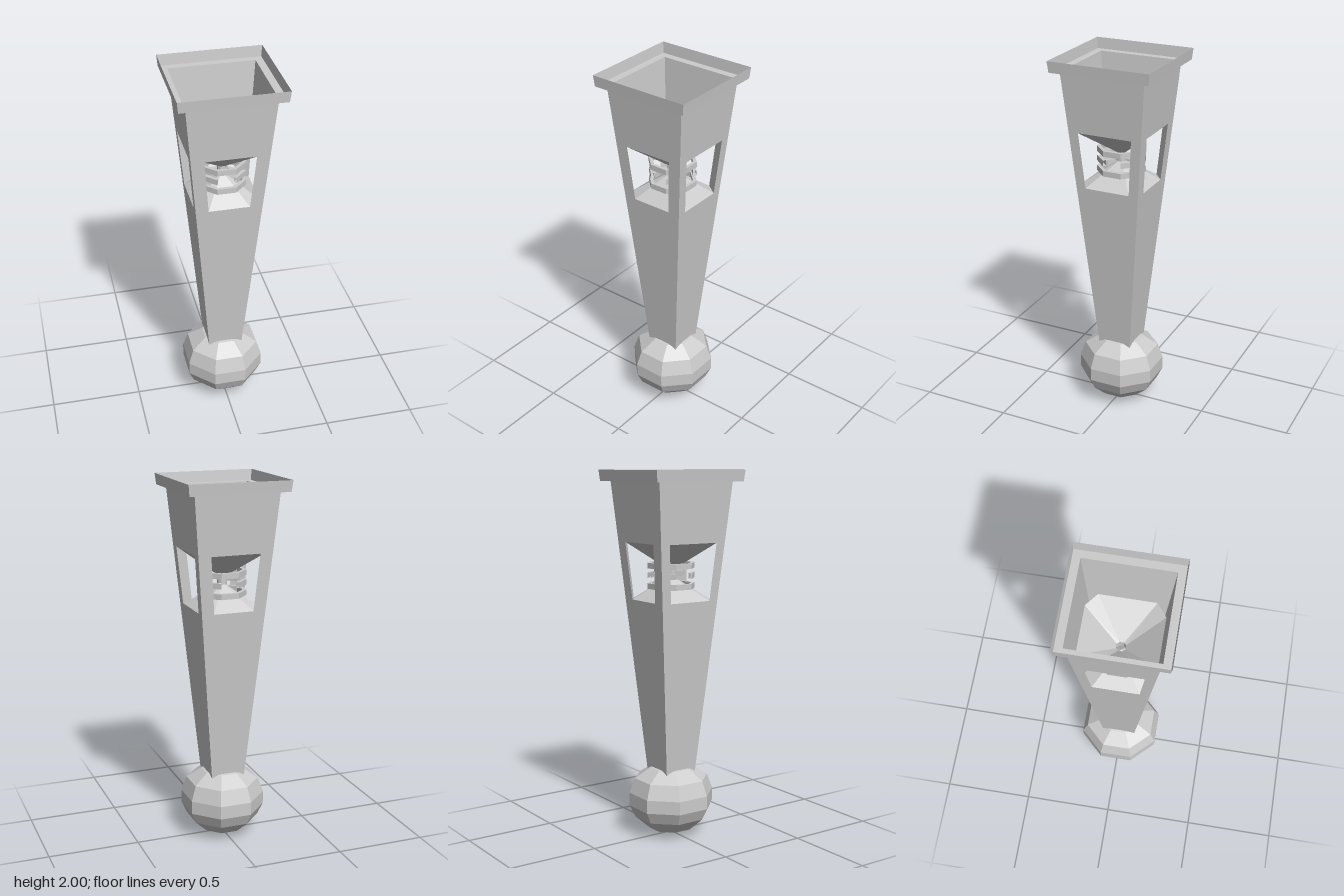
import * as THREE from 'three';

const material = new THREE.MeshStandardMaterial({ color: 0xcccccc, flatShading: true, side: THREE.DoubleSide });
const TOP = 1.94, WIN_TOP = 1.62, WIN_BOTTOM = 1.31;

// Half width of the tapering column at a height
const half = (y) => 0.094 + (y - 0.35) * 0.0874;

function add(parent, name, geometry) {
  const mesh = new THREE.Mesh(geometry, material);
  mesh.name = name;
  parent.add(mesh);
  return mesh;
}

// Skin through equal-length closed rings of [x, y, z] points, listed bottom to top
function loft(rings) {
  const n = rings[0].length, index = [];
  for (let r = 0; r < rings.length - 1; r++) {
    for (let i = 0; i < n; i++) {
      const a = r * n + i, b = r * n + (i + 1) % n;
      index.push(a, b, b + n, a, b + n, a + n);
    }
  }
  const g = new THREE.BufferGeometry();
  g.setAttribute('position', new THREE.Float32BufferAttribute(rings.flat(2), 3));
  g.setIndex(index);
  g.computeVertexNormals();
  return g;
}

// Eight-cornered ring: h is the half width, a and b the half lengths of its long edges
const octagon = (y, h, a, b) =>
  [[a, h], [h, b], [h, -b], [a, -h], [-a, -h], [-h, -b], [-h, b], [-a, h]].map(([x, z]) => [x, y, z]);

const square = (y, h) => [[h, y, h], [h, y, -h], [-h, y, -h], [-h, y, h]];

// One sloping wall of the column with its window
function wallGeometry(winTop, winBottom) {
  const b = half(0.3), t = half(TOP);
  const shape = new THREE.Shape([[-b, 0.3], [b, 0.3], [t, TOP], [-t, TOP]].map((p) => new THREE.Vector2(...p)));
  shape.holes.push(new THREE.Path([
    [-winBottom, WIN_BOTTOM], [-winTop, WIN_TOP], [winTop, WIN_TOP], [winBottom, WIN_BOTTOM],
  ].map((p) => new THREE.Vector2(...p))));
  const g = new THREE.ShapeGeometry(shape);
  const p = g.attributes.position;
  for (let i = 0; i < p.count; i++) p.setZ(i, half(p.getY(i)));
  g.computeVertexNormals();
  return g;
}

// Flat band bent round the axis; sides counts its straight pieces
function band(y, start, sides) {
  const profile = [[0.11, -0.015], [0.13, -0.015], [0.13, 0.015], [0.11, 0.015], [0.11, -0.015]]
    .map(([r, dy]) => new THREE.Vector2(r, y + dy));
  return new THREE.LatheGeometry(profile, sides, start, sides * Math.PI / 4);
}

export function createModel() {
  const model = new THREE.Group();
  model.name = 'hourglassPillar';

  // Faceted ball foot, with flat sides towards the axes
  const ballProfile = [[0, 0], [0.125, 0.03], [0.205, 0.1], [0.237, 0.165], [0.237, 0.238], [0.207, 0.32], [0.12, 0.375], [0, 0.4]]
    .map((p) => new THREE.Vector2(...p));
  const ball = add(model, 'ballFoot', new THREE.LatheGeometry(ballProfile, 8, Math.PI / 8));
  ball.scale.x = 0.97;

  // Column walls
  const column = new THREE.Group();
  column.name = 'column';
  model.add(column);
  for (let i = 0; i < 4; i++) {
    const wall = add(column, 'columnWall', i % 2 ? wallGeometry(0.15, 0.125) : wallGeometry(0.135, 0.11));
    wall.rotation.y = i * Math.PI / 2;
  }

  // Shallow tray rim around the open top
  add(model, 'rim', loft([square(TOP, half(TOP)), square(TOP, 0.274), square(2, 0.28)]));

  // Chamfered inner faces of the corner posts
  const lower = octagon(WIN_BOTTOM, half(WIN_BOTTOM), 0.11, 0.125);
  const upper = octagon(WIN_TOP, half(WIN_TOP), 0.135, 0.15);
  for (let i = 0; i < 8; i += 2) {
    const strip = new THREE.BufferGeometry().setFromPoints(
      [lower[i], upper[i], upper[i + 1], lower[i + 1]].map((p) => new THREE.Vector3(...p)));
    strip.setIndex([0, 1, 2, 0, 2, 3]);
    strip.computeVertexNormals();
    add(column, 'postInnerFace', strip);
  }

  // Funnel with its neck above, low pyramid floor below
  add(model, 'funnel', loft([octagon(1.43, 0.024, 0.012, 0.012), octagon(1.48, 0.024, 0.012, 0.012), upper]));
  add(model, 'pyramidFloor', loft([lower, octagon(1.44, 0, 0, 0)]));

  // Bands around the neck; the middle one only spans the corners
  const bands = new THREE.Group();
  bands.name = 'neckBands';
  model.add(bands);
  for (const y of [1.385, 1.495]) add(bands, 'fullBand', band(y, Math.PI / 8, 8));
  for (let i = 0; i < 4; i++) add(bands, 'cornerBand', band(1.442, Math.PI / 8 + i * Math.PI / 2, 1));

  return model;
}
